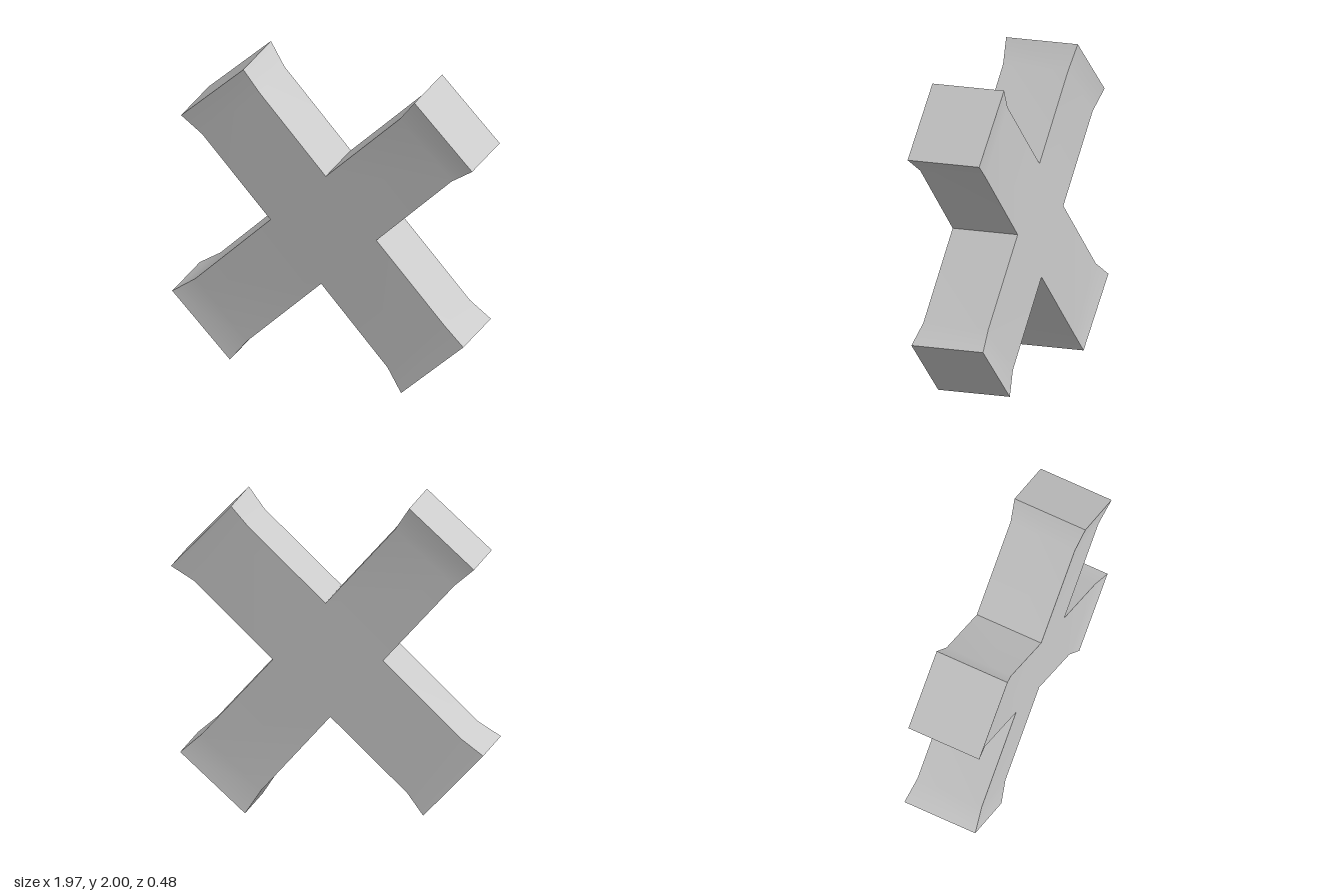
import * as THREE from 'three';
import { mergeVertices, mergeGeometries } from 'three/addons/utils/BufferGeometryUtils.js';

const CORE = 0.218, TIP = 0.24; // half depths of the core and the flared ends

// Smooth-shaded surface from quads that share corners.
function surface(quads) {
  const pos = [];
  for (const [a, b, c, d] of quads) pos.push(...a, ...b, ...c, ...a, ...c, ...d);
  const geo = new THREE.BufferGeometry();
  geo.setAttribute('position', new THREE.Float32BufferAttribute(pos, 3));
  const welded = mergeVertices(geo);
  welded.computeVertexNormals();
  return welded;
}

// Corner at the front (s = 1) or back (s = -1); points are relative to the centre.
const corner = ([x, y, h], s) => [x, y, h * s];
// Wall following the outline, clockwise seen from the front.
const wall = (p, q) => [corner(p, 1), corner(q, 1), corner(q, -1), corner(p, -1)];

export function createModel() {
  const group = new THREE.Group();
  const material = new THREE.MeshStandardMaterial({ color: 0xcccccc });
  const add = (name, geometry) => {
    const mesh = new THREE.Mesh(geometry, material);
    mesh.name = name;
    mesh.position.y = 1;
    group.add(mesh);
  };

  // Two arms: each edge runs from notch to flare to tip.
  const top = [0.015, 0.36, CORE], right = [0.347, -0.017, CORE];
  const turn = ([x, y, h]) => [-x, -y, h];
  const half = [
    { a: [top, [0.5, 0.815, CORE], [0.605, 0.946, TIP]],
      b: [right, [0.84, 0.45, CORE], [0.983, 0.544, TIP]] },
    { a: [right, [0.795, -0.52, CORE], [0.925, -0.635, TIP]],
      b: [turn(top), [0.42, -0.853, CORE], [0.517, -1, TIP]] },
  ];
  // The opposite arms are a half turn about the centre.
  const arms = [...half, ...half.map(({ a, b }) => ({ a: a.map(turn), b: b.map(turn) }))];

  // Front and back faces, continuous over the core and all arms
  for (const s of [1, -1]) {
    const quads = [arms.map(({ a }) => a[0]).reverse()];
    for (const { a, b } of arms)
      for (let i = 0; i < 2; i++) quads.push([a[i], b[i], b[i + 1], a[i + 1]]);
    const placed = quads.map(q => q.map(p => corner(p, s)));
    add(s > 0 ? 'frontFace' : 'backFace', surface(s > 0 ? placed : placed.map(q => q.reverse())));
  }

  // Side walls and end cap of each arm
  const names = ['upperLeftArm', 'lowerLeftArm', 'lowerRightArm', 'upperRightArm'];
  arms.forEach(({ a, b }, i) => {
    add(names[i], mergeGeometries([
      surface([wall(a[0], a[1]), wall(a[1], a[2])]),
      surface([wall(a[2], b[2])]),
      surface([wall(b[2], b[1]), wall(b[1], b[0])]),
    ]));
  });
  return group;
}
